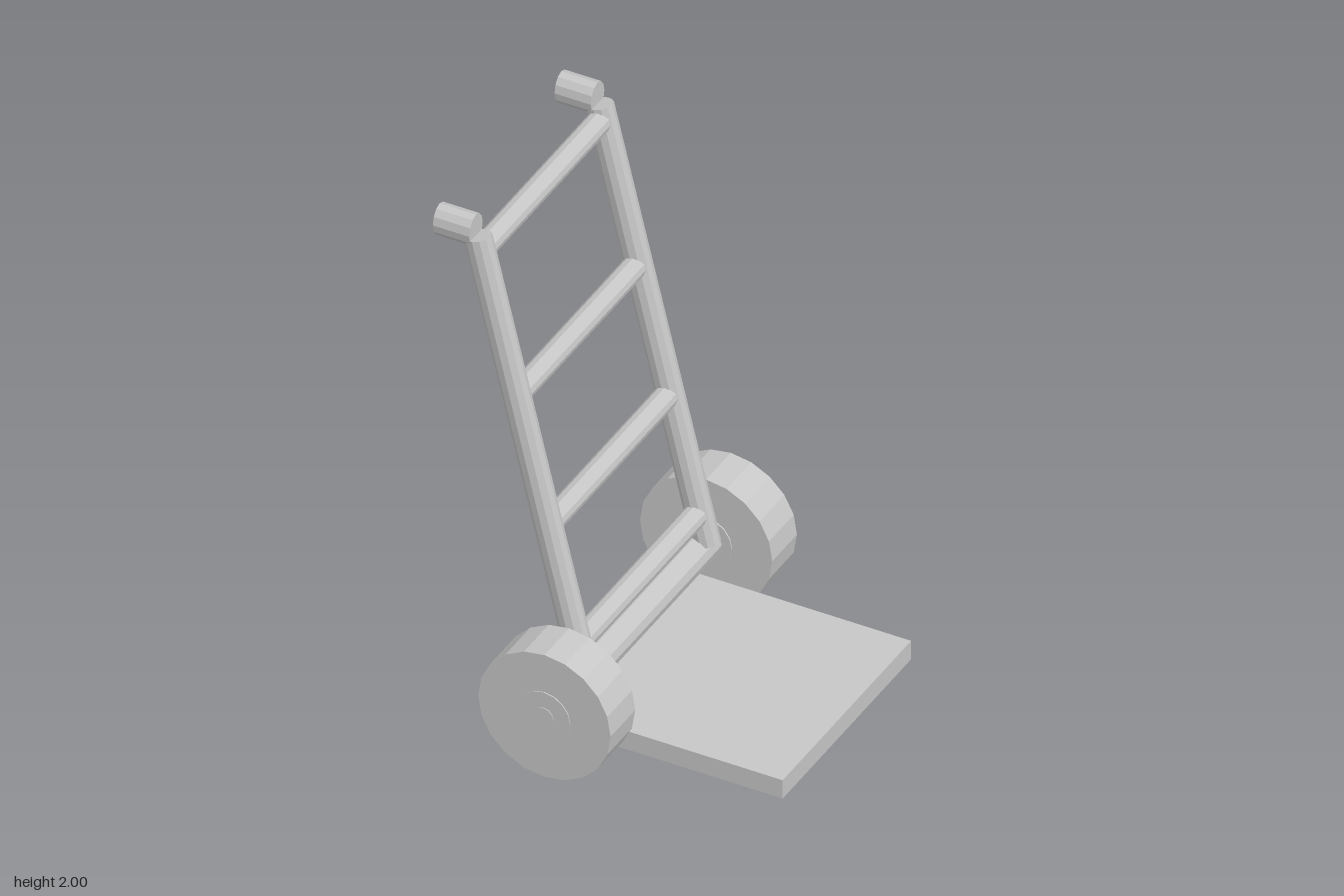
import * as THREE from 'three';

export function createModel() {
  const model = new THREE.Group();
  model.name = 'handTruck';
  const grey = new THREE.MeshStandardMaterial({ color: 0xc6c6c6, flatShading: true });
  grey.name = 'light grey';

  // Cylinder between two points; depth squashes its section along z.
  const up = new THREE.Vector3(0, 1, 0);
  function rod(name, from, to, radius, sides, depth = 1) {
    const a = new THREE.Vector3(...from);
    const b = new THREE.Vector3(...to);
    const dir = b.clone().sub(a);
    const mesh = new THREE.Mesh(new THREE.CylinderGeometry(radius, radius, dir.length(), sides), grey);
    mesh.name = name;
    mesh.scale.z = depth;
    mesh.position.copy(a).add(b).multiplyScalar(0.5);
    mesh.quaternion.setFromUnitVectors(up, dir.normalize());
    model.add(mesh);
  }

  // Leaning frame line, running from the axle up to the grips
  const low = [-0.108, 0.284];
  const high = [-0.506, 1.918];
  const frameX = (y) => low[0] + (high[0] - low[0]) * (y - low[1]) / (high[1] - low[1]);
  const wheelX = -0.138;
  const wheelY = 0.246;
  const railZ = 0.419;

  for (const [side, s] of [['left', 1], ['right', -1]]) {
    // Side rail and backward grip
    rod(side + 'Rail', [...low, s * railZ], [...high, s * railZ], 0.051, 12, 0.82);
    rod(side + 'Grip', [-0.648, 1.94, s * railZ], [-0.513, 1.94, s * railZ], 0.06, 12, 0.78);
    // Wheel with its slightly raised hub
    rod(side + 'Wheel', [wheelX, wheelY, s * 0.472], [wheelX, wheelY, s * 0.642], 0.246, 20);
    rod(side + 'Hub', [wheelX, wheelY, s * 0.467], [wheelX, wheelY, s * 0.646], 0.097, 16);
    rod(side + 'HubCap', [wheelX, wheelY, s * 0.64], [wheelX, wheelY, s * 0.649], 0.036, 12);
  }

  // Cross rungs
  for (const y of [0.398, 0.842, 1.325, 1.865]) {
    rod('rung', [frameX(y), y, -railZ], [frameX(y), y, railZ], 0.042, 12);
  }

  // Axle
  rod('axle', [wheelX, 0.25, -0.5], [wheelX, 0.25, 0.5], 0.061, 12);

  // Load plate
  const plate = new THREE.Mesh(new THREE.BoxGeometry(0.847, 0.074, 0.885), grey);
  plate.name = 'loadPlate';
  plate.position.set(0.6405 - 0.847 / 2, 0.09, 0);
  model.add(plate);

  return model;
}
